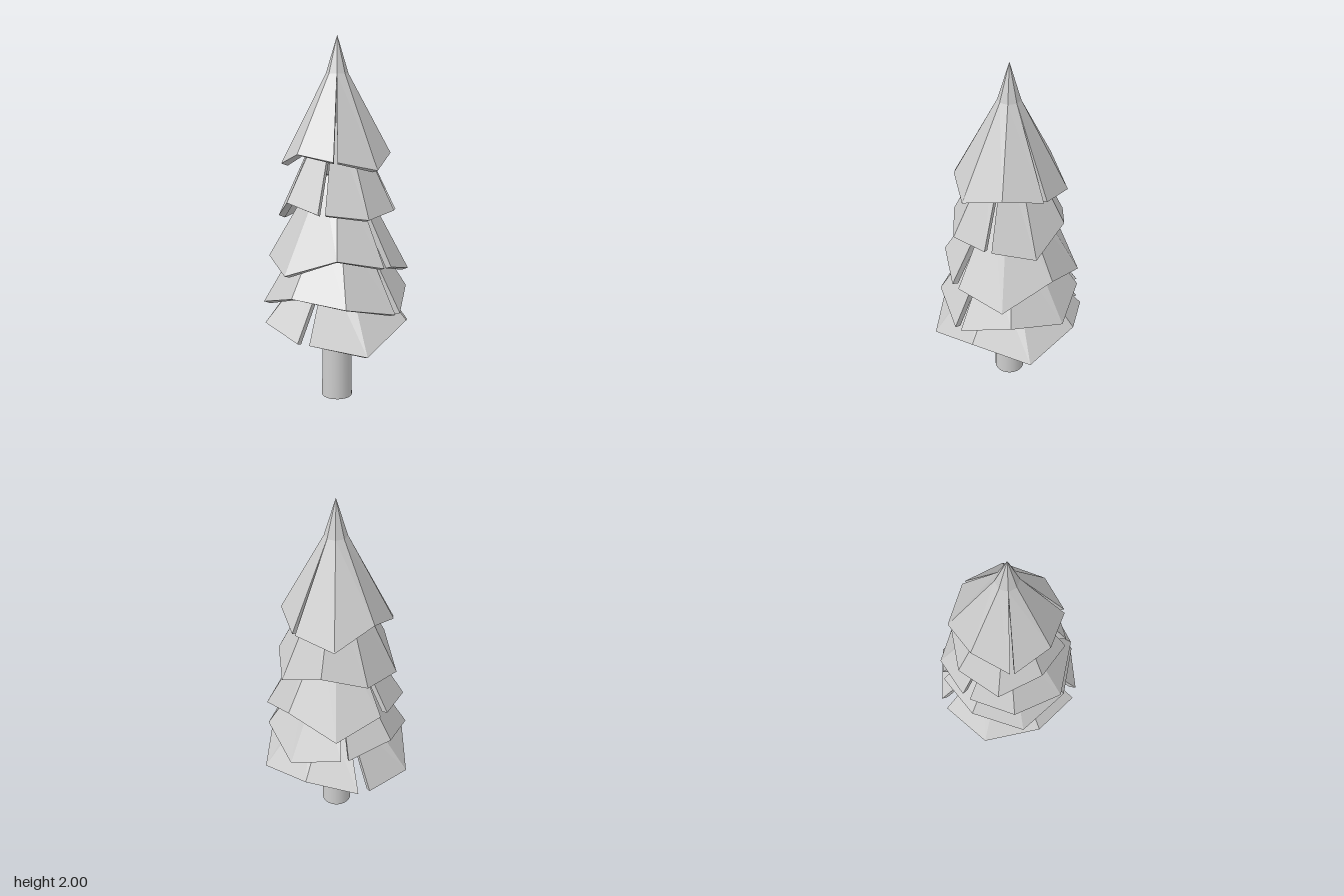
import * as THREE from 'three';

const CX = 0.013, CZ = 0.008; // trunk axis
const SIDES = 8, THICK = 0.035, FLARE = 0.25;

// rings: [y, radius] above the hem; reach: mean hem radius; turn: degrees from the front;
// hem: corner heights, front -> left side (+x) -> back; slits: corners that are cut open.
const TIERS = [
  { name: 'topTier', rings: [[2, 0], [1.8, 0.06]], reach: 0.295, turn: 22.5, gap: 2,
    hem: [1.36, 1.31, 1.38, 1.345, 1.3, 1.4, 1.32, 1.39], slits: [0, 3, 6] },
  { name: 'upperTier', rings: [[1.55, 0.09]], reach: 0.322, turn: 9.5, gap: 3.5,
    hem: [1.09, 1.06, 1.08, 1.03, 1.13, 1.06, 1.02, 1.13], slits: [0, 2] },
  { name: 'middleTier', rings: [[1.27, 0.11]], reach: 0.375, turn: 24, gap: 4,
    hem: [0.86, 0.805, 0.74, 0.87, 0.77, 0.86, 0.81, 0.76], slits: [1, 5] },
  { name: 'lowerTier', rings: [[1, 0.15]], reach: 0.394, turn: 31, gap: 3,
    hem: [0.61, 0.55, 0.63, 0.57, 0.64, 0.66, 0.56, 0.645], slits: [1, 4] },
  { name: 'bottomTier', rings: [[0.78, 0.15]], reach: 0.426, turn: 0, gap: 4.5,
    hem: [0.425, 0.365, 0.49, 0.395, 0.48, 0.42, 0.38, 0.47], slits: [0, 5] },
];

// Point around the trunk axis, angle in degrees from the front
function polar(degrees, y, r) {
  const a = THREE.MathUtils.degToRad(degrees);
  return [CX + Math.sin(a) * r, y, CZ + Math.cos(a) * r];
}

// Outer and inner points from the top ring down to one hem corner;
// lower corners reach further out, and shift opens a slit at the hem.
function column({ rings, reach, turn, hem }, corner, shift) {
  const angle = turn + corner * 360 / SIDES;
  const mean = hem.reduce((sum, h) => sum + h, 0) / SIDES;
  const y = hem[corner % SIDES];
  const r = reach - FLARE * (y - mean);
  return {
    outer: [...rings.map(([h, q]) => polar(angle, h, q)), polar(angle + shift, y, r)],
    inner: [...rings.map(([h, q]) => polar(angle, h - 0.015, Math.max(0, q - THICK))),
      polar(angle + shift, y - 0.012, r - THICK)],
  };
}

// Thick, folded strip of boughs from one slit to the next, with closed edges
function stripGeometry(tier, from, to) {
  const pos = [], cols = [];
  const quad = (a, b, c, d) => pos.push(...a, ...b, ...c, ...a, ...c, ...d);
  for (let c = from; c <= to; c++) {
    const shift = c === from ? tier.gap : c === to ? -tier.gap : 0;
    cols.push(column(tier, c, shift));
  }
  const n = tier.rings.length;
  for (let i = 0; i + 1 < cols.length; i++) {
    const p = cols[i], q = cols[i + 1];
    for (let k = 0; k < n; k++) {
      quad(p.outer[k], p.outer[k + 1], q.outer[k + 1], q.outer[k]);
      quad(p.inner[k + 1], p.inner[k], q.inner[k], q.inner[k + 1]);
    }
    quad(p.outer[n], p.inner[n], q.inner[n], q.outer[n]); // hem
  }
  const s = cols[0], e = cols[cols.length - 1];
  for (let k = 0; k < n; k++) { // slit edges
    quad(s.outer[k], s.inner[k], s.inner[k + 1], s.outer[k + 1]);
    quad(e.outer[k + 1], e.inner[k + 1], e.inner[k], e.outer[k]);
  }
  const geo = new THREE.BufferGeometry();
  geo.setAttribute('position', new THREE.Float32BufferAttribute(pos, 3));
  geo.computeVertexNormals();
  return geo;
}

export function createModel() {
  const tree = new THREE.Group();
  tree.name = 'pineTree';
  const grey = new THREE.MeshStandardMaterial({ color: 0xcccccc });
  grey.name = 'lightGrey';

  // Trunk
  const trunk = new THREE.Mesh(new THREE.CylinderGeometry(0.076, 0.085, 0.95, 24), grey);
  trunk.name = 'trunk';
  trunk.position.set(CX, 0.475, CZ);
  tree.add(trunk);

  // Bough tiers
  for (const tier of TIERS) {
    const group = new THREE.Group();
    group.name = tier.name;
    tier.slits.forEach((from, i) => {
      const to = tier.slits[i + 1] ?? tier.slits[0] + SIDES;
      const boughs = new THREE.Mesh(stripGeometry(tier, from, to), grey);
      boughs.name = `boughs${i + 1}`;
      group.add(boughs);
    });
    tree.add(group);
  }
  return tree;
}
